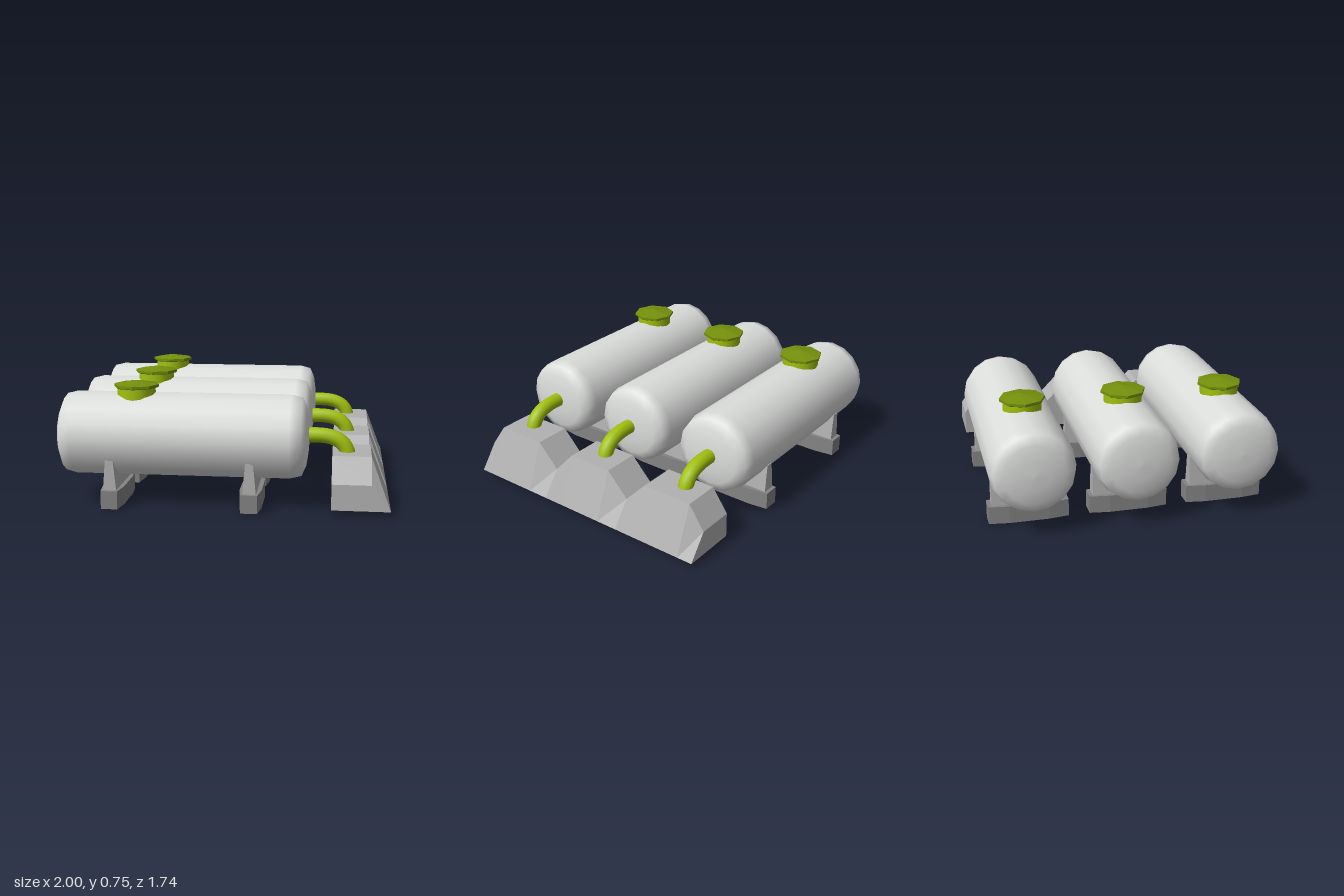
import * as THREE from 'three';

const mat = (name, color, side = THREE.FrontSide) => {
  const m = new THREE.MeshStandardMaterial({ color, side });
  m.name = name;
  return m;
};

const flat = (geo) => {
  const g = geo.index ? geo.toNonIndexed() : geo;
  g.computeVertexNormals();
  return g;
};

const lathe = (pts, sides) =>
  new THREE.LatheGeometry(pts.map(([r, y]) => new THREE.Vector2(r, y)), sides);

// Horizontal tank with gently domed ends, axis along x
function tankGeometry() {
  const x0 = -1, x1 = 0.517;
  const end = [[0, 0], [0.09, 0.004], [0.18, 0.017], [0.238, 0.043], [0.255, 0.11]];
  const pts = [
    ...end.map(([r, d]) => [r, x0 + d]),
    ...[...end].reverse().map(([r, d]) => [r, x1 - d]),
  ];
  return lathe(pts, 16).rotateZ(-Math.PI / 2);
}

// Pipe leaving the tank end and bending down into the trough block
function pipeGeometry() {
  const v = (x, y) => new THREE.Vector3(x, y, 0);
  const path = new THREE.CurvePath();
  path.add(new THREE.LineCurve3(v(0.48, 0.43), v(0.56, 0.43)));
  path.add(new THREE.QuadraticBezierCurve3(v(0.56, 0.43), v(0.74, 0.43), v(0.75, 0.3)));
  path.add(new THREE.LineCurve3(v(0.75, 0.3), v(0.75, 0.2)));
  return new THREE.TubeGeometry(path, 20, 0.046, 10);
}

// Foot: long block, a little wider in the middle than at its ends
function footGeometry() {
  const s = new THREE.Shape([
    [-0.05, -0.243], [0.05, -0.243], [0.066, -0.12], [0.066, 0.12],
    [0.05, 0.243], [-0.05, 0.243], [-0.066, 0.12], [-0.066, -0.12],
  ].map(([x, z]) => new THREE.Vector2(x, z)));
  return new THREE.ExtrudeGeometry(s, { depth: 0.11, bevelEnabled: false }).rotateX(-Math.PI / 2);
}

// Saddle: plate that thins towards the top
function saddleGeometry() {
  const g = new THREE.BoxGeometry(0.08, 0.18, 0.44).translate(0, 0.2, 0);
  const p = g.attributes.position;
  for (let i = 0; i < p.count; i++) if (p.getY(i) > 0.2) p.setX(i, p.getX(i) * 0.6);
  return flat(g);
}

// Trough block: hollow underneath, with three flat peaks and a sloping front
function troughGeometry() {
  const low = 0.19, high = 0.335;
  const stations = [
    [-0.85, low], [-0.75, high], [-0.425, high], [-0.286, low], [-0.147, high],
    [0.147, high], [0.284, low], [0.423, high], [0.745, high], [0.85, low],
  ];
  const rings = stations.map(([z, h]) =>
    [[0.655, 0.035, z], [0.655, h, z], [0.885, h, z], [1, 0.035, z]]);
  const out = [];
  const quad = (a, b, c, d) => out.push(...a, ...b, ...c, ...a, ...c, ...d);
  for (let i = 0; i < rings.length - 1; i++) {
    const p = rings[i], q = rings[i + 1];
    quad(p[0], q[0], q[1], p[1]);
    quad(p[1], q[1], q[2], p[2]);
    quad(p[2], q[2], q[3], p[3]);
  }
  const first = rings[0], last = rings[rings.length - 1];
  quad(first[0], first[1], first[2], first[3]);
  quad(last[0], last[3], last[2], last[1]);
  const g = new THREE.BufferGeometry();
  g.setAttribute('position', new THREE.Float32BufferAttribute(out, 3));
  g.computeVertexNormals();
  return g;
}

export function createModel() {
  const model = new THREE.Group();
  model.name = 'storageTanks';

  const white = mat('tankWhite', 0xdcdedc);
  const lime = mat('pipeGreen', 0xa2c20e);
  const olive = mat('lidGreen', 0x75900c);
  const grey = mat('concreteGrey', 0xb2b2b2, THREE.DoubleSide);
  const darkGrey = mat('footGrey', 0x848484);

  const tankGeo = tankGeometry();
  const pipeGeo = pipeGeometry();
  const endGeo = new THREE.CircleGeometry(0.046, 10).rotateX(Math.PI / 2);
  const footGeo = footGeometry();
  const saddleGeo = saddleGeometry();
  const neckGeo = new THREE.CylinderGeometry(0.117, 0.117, 0.12, 16);
  const lidGeo = flat(lathe([[0, 0], [0.13, 0], [0.137, 0.004], [0.137, 0.02], [0, 0.043]], 8));

  const add = (parent, name, geo, material, x = 0, y = 0, z = 0) => {
    const m = new THREE.Mesh(geo, material);
    m.name = name;
    m.position.set(x, y, z);
    parent.add(m);
  };

  // Three identical tank units side by side
  for (const z of [-0.615, 0, 0.615]) {
    const unit = new THREE.Group();
    unit.name = 'tankUnit';
    unit.position.z = z;
    add(unit, 'tank', tankGeo, white, 0, 0.418, 0);
    add(unit, 'hatchNeck', neckGeo, lime, -0.53, 0.645, 0.006);
    add(unit, 'hatchLid', lidGeo, olive, -0.53, 0.702, 0.006);
    add(unit, 'pipe', pipeGeo, lime, 0, 0, -0.004);
    add(unit, 'pipeEnd', endGeo, lime, 0.75, 0.2, -0.004);
    for (const x of [-0.66, 0.175]) {
      add(unit, 'foot', footGeo, darkGrey, x);
      add(unit, 'saddle', saddleGeo, grey, x);
    }
    model.add(unit);
  }

  add(model, 'troughBlock', troughGeometry(), grey);
  return model;
}
